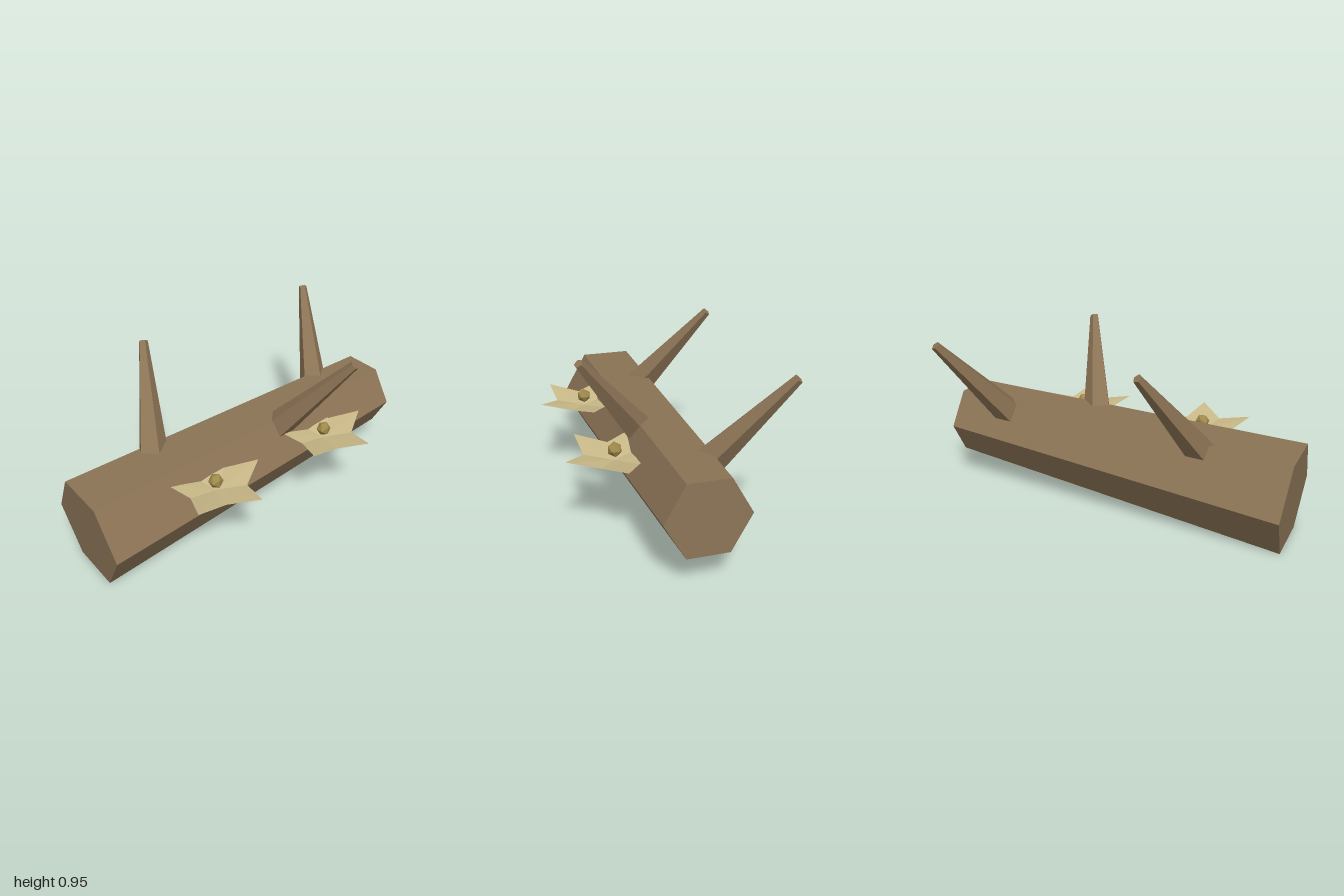
import * as THREE from 'three';

const bark = new THREE.MeshStandardMaterial({ color: 0x8b7355, flatShading: true });
bark.name = 'bark brown';
const petal = new THREE.MeshStandardMaterial({ color: 0xc9b988, flatShading: true, side: THREE.DoubleSide });
petal.name = 'petal cream';
const pollen = new THREE.MeshStandardMaterial({ color: 0xa08a4c, flatShading: true });
pollen.name = 'pollen gold';

function part(name, geometry, material) {
  const mesh = new THREE.Mesh(geometry, material);
  mesh.name = name;
  return mesh;
}

// Five-sided tapering branch placed by its tip; side = 1 leans forward, -1 backward
function makeBranch(name, tip, side) {
  const length = 0.7;
  const geo = new THREE.CylinderGeometry(0.025, 0.092, length, 5, 1, false, side > 0 ? Math.PI : 0);
  geo.translate(0, -length / 2, 0);
  const branch = part(name, geo, bark);
  branch.rotation.set(side * 0.637, 0, -0.33);
  branch.position.set(...tip);
  return branch;
}

// Shallow star bowl: petal tips and notches alternate around a low centre
function makePetals() {
  const rim = (i) => {
    const a = (i * Math.PI) / 5;
    const tip = i % 2 === 0;
    const r = tip ? 0.28 : 0.16;
    return [r * Math.cos(a), tip ? 0.065 : 0.027, r * Math.sin(a)];
  };
  const pos = [];
  for (let i = 0; i < 10; i++) pos.push(0, 0, 0, ...rim(i + 1), ...rim(i));
  const geo = new THREE.BufferGeometry();
  geo.setAttribute('position', new THREE.Float32BufferAttribute(pos, 3));
  geo.computeVertexNormals();
  return geo;
}

function makeFlower(name, x) {
  const flower = new THREE.Group();
  flower.name = name;
  const heart = part('flowerCentre', new THREE.IcosahedronGeometry(0.04, 0), pollen);
  heart.position.y = 0.06;
  flower.add(part('petals', makePetals(), petal), heart);
  flower.position.set(x, 0.406, 0.24);
  return flower;
}

export function createModel() {
  const model = new THREE.Group();
  model.name = 'floweringLog';

  // Tapering six-sided log, slightly raised at its thin end
  const log = part('log', new THREE.CylinderGeometry(0.215, 0.29, 1.975, 6), bark);
  log.rotation.z = -Math.PI / 2 + 0.058;
  log.position.set(0, 0.312, -0.04);
  model.add(log);

  model.add(
    makeBranch('backRightBranch', [-0.31, 0.943, -0.49], -1),
    makeBranch('backLeftBranch', [0.855, 0.943, -0.49], -1),
    makeBranch('frontBranch', [0.393, 0.943, 0.413], 1),
    makeFlower('rightFlower', -0.378),
    makeFlower('leftFlower', 0.378)
  );
  return model;
}
